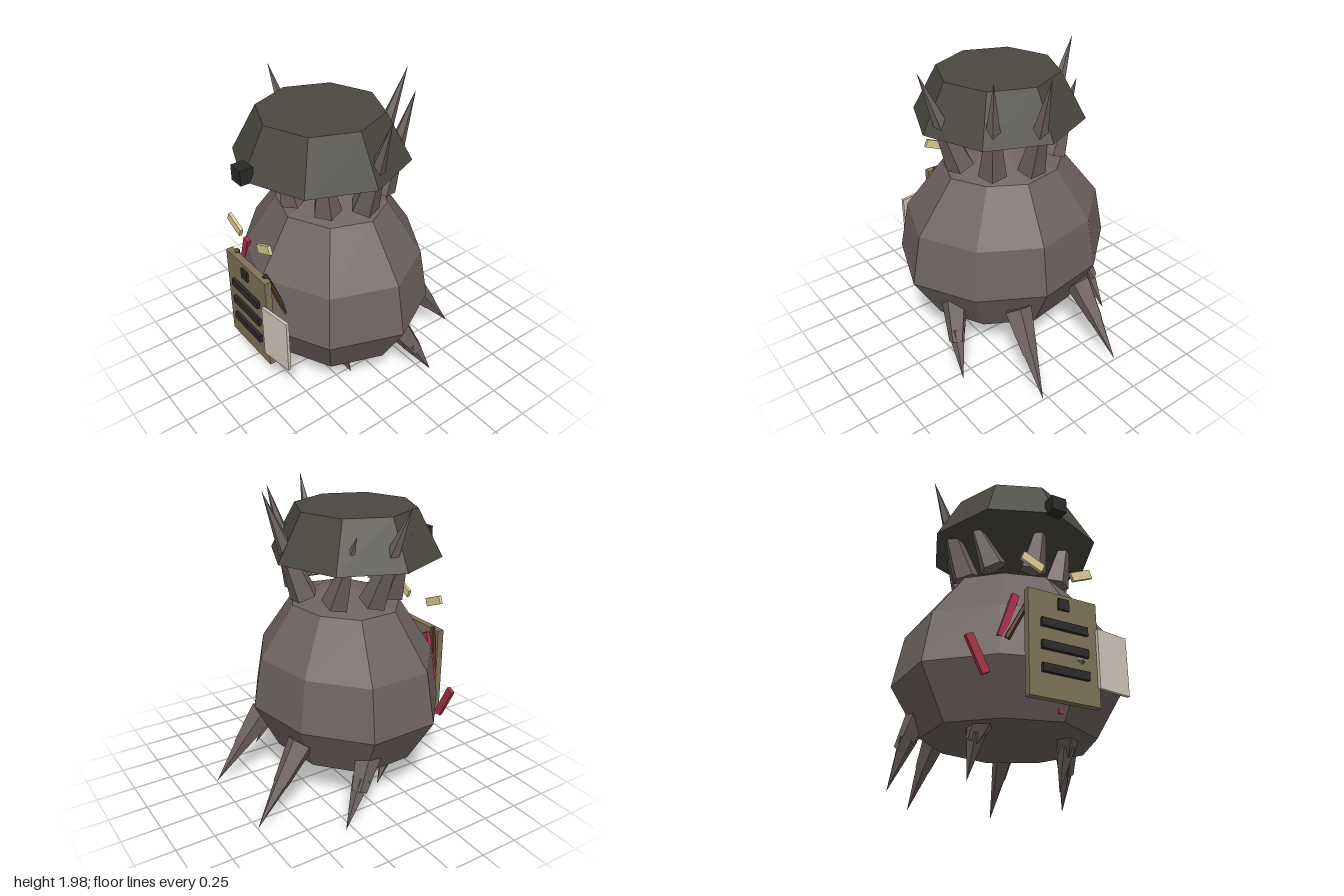
import * as THREE from 'three';

const mat = (color, side = THREE.FrontSide) =>
  new THREE.MeshStandardMaterial({ color, flatShading: true, side });
const skin = mat(0x6f6361), cloth = mat(0x4a4840), dark = mat(0x2b2a29), board = mat(0x7f7459),
  paper = mat(0xd0c7b9), red = mat(0xa83248), eyeMat = mat(0xe0d097), leather = mat(0x4a3018);

function add(parent, name, geometry, material, x = 0, y = 0, z = 0) {
  const mesh = new THREE.Mesh(geometry, material);
  mesh.name = name;
  mesh.position.set(x, y, z);
  parent.add(mesh);
  return mesh;
}

function box(parent, name, material, size, pos, rotZ = 0, rotY = 0) {
  const mesh = add(parent, name, new THREE.BoxGeometry(...size), material, ...pos);
  mesh.rotation.set(0, rotY, rotZ);
  return mesh;
}

// Tapered limb running from point a to point b
function taper(parent, name, a, b, ra, rb, sides, material = skin) {
  const from = new THREE.Vector3(...a), to = new THREE.Vector3(...b);
  const dir = to.clone().sub(from);
  const mesh = add(parent, name, new THREE.CylinderGeometry(rb, ra, dir.length(), sides), material);
  mesh.position.copy(from).add(to).multiplyScalar(0.5);
  mesh.quaternion.setFromUnitVectors(new THREE.Vector3(0, 1, 0), dir.normalize());
  return mesh;
}

// Nine-sided lumpy body: one outline scaled at each height, closed by an apex and a flat base
function bodyGeometry() {
  const outline = [[0.70, 0.07], [0.49, -0.31], [0.10, -0.53], [-0.36, -0.45], [-0.70, -0.15],
    [-0.69, 0.30], [-0.36, 0.60], [0.09, 0.735], [0.54, 0.51]];
  const rings = [[0.29, 0.745], [0.6, 1], [0.93, 0.91], [1.26, 0.56]];
  const cx = -0.015, cz = 0.08, n = outline.length;
  const pos = [], index = [];
  for (const [y, s] of rings)
    for (const [x, z] of outline) pos.push(cx + (x - cx) * s, y, cz + (z - cz) * s);
  const base = rings.length * n, apex = base + 1, last = (rings.length - 1) * n;
  pos.push(cx, 0.29, cz, cx + 0.02, 1.39, cz);
  for (let i = 0; i < n; i++) {
    const j = (i + 1) % n;
    for (let k = 0; k < last; k += n)
      index.push(k + i, k + j, k + n + j, k + i, k + n + j, k + n + i);
    index.push(base, j, i, last + i, last + j, apex);
  }
  const g = new THREE.BufferGeometry();
  g.setAttribute('position', new THREE.Float32BufferAttribute(pos, 3));
  g.setIndex(index);
  g.computeVertexNormals();
  return g;
}

export function createModel() {
  const root = new THREE.Group();
  root.name = 'spikyCreature';
  add(root, 'body', bodyGeometry(), skin);

  // Helmet with a front badge
  add(root, 'helmet', new THREE.CylinderGeometry(0.385, 0.545, 0.295, 8), cloth, -0.025, 1.7075, 0.15);
  box(root, 'helmetBadge', dark, [0.1, 0.095, 0.085], [-0.025, 1.607, 0.688]);

  // Crown of eight spikes, some of them piercing the helmet
  const crown = new THREE.Group();
  crown.name = 'crownSpikes';
  root.add(crown);
  const tips = [[0.56, 1.97, 0.10], [0.31, 1.97, -0.28], [0.045, 1.99, -0.45], [-0.43, 1.78, -0.11],
    [-0.60, 1.95, 0.14], [-0.43, 1.74, 0.27], [0.03, 1.8, 0.50], [0.29, 1.8, 0.37]];
  tips.forEach((tip, i) => {
    const a = i * Math.PI / 4;
    const foot = [-0.01 + 0.32 * Math.cos(a), 1.33, 0.08 - 0.29 * Math.sin(a)];
    taper(crown, 'crownSpike', foot, tip, 0.09, 0, 5);
  });

  // Three pairs of jointed, pointed legs: hip, knee, tip
  const legs = [
    ['frontLeg', [0.27, 0.37, 0.31], [0.31, 0.22, 0.225], [0.305, 0.01, 0.15]],
    ['middleLeg', [0.50, 0.46, -0.06], [0.575, 0.23, -0.185], [0.61, 0.01, -0.30]],
    ['backLeg', [0.25, 0.48, -0.40], [0.28, 0.25, -0.57], [0.305, 0.01, -0.745]],
  ];
  for (const side of [-1, 1]) {
    for (const [name, ...pts] of legs) {
      const leg = new THREE.Group();
      leg.name = name;
      root.add(leg);
      const [hip, knee, tip] = pts.map(([x, y, z]) => [side * x - 0.02, y, z]);
      const shin = knee.map((v, i) => v + (hip[i] - v) * 0.3);
      taper(leg, 'thigh', hip, knee, 0.09, 0.05, 5);
      taper(leg, 'shin', shin, tip, 0.06, 0, 5);
    }
    // Slanted glowing eyes and the straps of the chest board
    box(root, 'eye', eyeMat, [0.145, 0.055, 0.02], [side * 0.165 - 0.025, 1.178, 0.677], side * 0.4);
    taper(root, 'strap', [side * 0.16 - 0.025, 0.99, 0.685], [side * 0.29 - 0.025, 0.7, 0.6],
      0.018, 0.018, 6, leather);
  }

  // Chest board with slots, a badge and a loose sheet
  const chest = new THREE.Group();
  chest.name = 'chestBoard';
  root.add(chest);
  box(chest, 'board', board, [0.45, 0.635, 0.045], [-0.025, 0.6625, 0.7025]);
  for (const y of [0.78, 0.645, 0.51]) box(chest, 'slot', dark, [0.3, 0.05, 0.03], [-0.025, y, 0.731]);
  box(chest, 'boardBadge', dark, [0.07, 0.07, 0.025], [-0.025, 0.917, 0.726]);
  box(chest, 'sheet', paper, [0.222, 0.36, 0.02], [0.295, 0.63, 0.725], 0, 0.14);

  // Red slashes around the chest
  box(root, 'redSlash', red, [0.05, 0.235, 0.025], [-0.48, 0.588, 0.567], 0.47);
  box(root, 'redSlash', red, [0.045, 0.30, 0.025], [-0.295, 0.855, 0.575], -0.33);
  box(root, 'redSlash', red, [0.05, 0.22, 0.025], [0.03, 0.44, 0.575], 0.12);
  box(root, 'redSlash', red, [0.04, 0.14, 0.025], [0.265, 0.76, 0.575], 0.3);
  return root;
}
